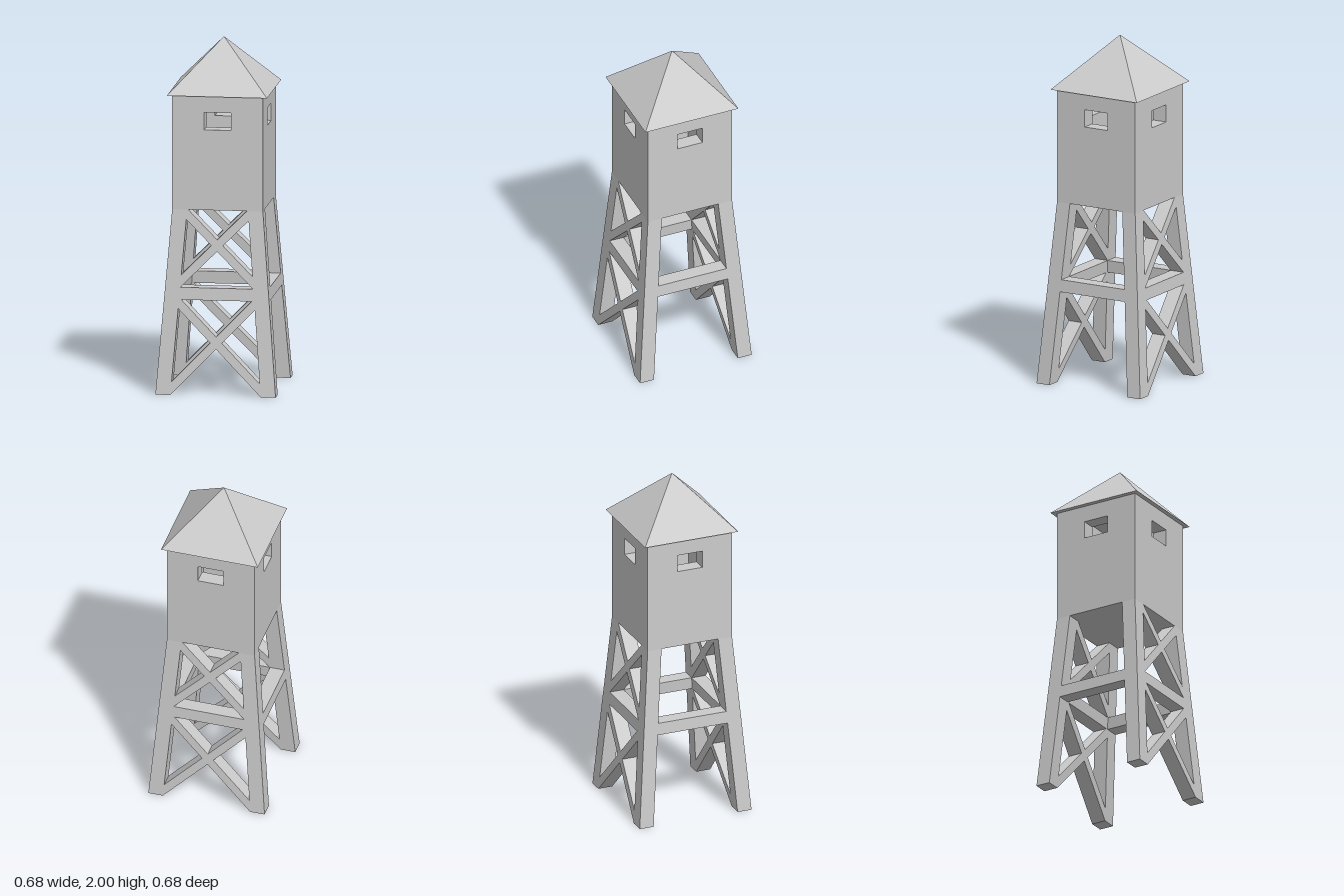
import * as THREE from 'three';

const T = 0.085;            // timber and wall thickness
const FOOT = 0.342;         // half width at the ground
const CABIN = 0.258;        // half width of the cabin
const DECK = 1.05;          // underside of the cabin
const EAVE = 1.705;
const material = new THREE.MeshStandardMaterial({ color: 0xcccccc, flatShading: true });

const outer = (y) => FOOT - (FOOT - CABIN) * (y / DECK);

function add(parent, name, geometry) {
  const mesh = new THREE.Mesh(geometry, material);
  mesh.name = name;
  parent.add(mesh);
  return mesh;
}

// Outline drawn on the front plane, extruded to timber depth
function slab(points, hole) {
  const shape = new THREE.Shape(points.map(([x, y]) => new THREE.Vector2(x, y)));
  if (hole) shape.holes.push(new THREE.Path(hole.map(([x, y]) => new THREE.Vector2(x, y))));
  return new THREE.ExtrudeGeometry(shape, { depth: T, bevelEnabled: false });
}

// Slab leaning inwards so it lies flush with the tapering tower
function leaningSlab(points) {
  const geometry = slab(points);
  const p = geometry.attributes.position;
  for (let i = 0; i < p.count; i++) p.setZ(i, p.getZ(i) + outer(p.getY(i)) - T);
  geometry.computeVertexNormals();
  return geometry;
}

const rect = (w, y0, y1) => [[-w, y0], [w, y0], [w, y1], [-w, y1]];
const mirror = (points) => points.map(([x, y]) => [-x, y]);

export function createModel() {
  const model = new THREE.Group();
  model.name = 'watchtower';

  const leg = [[FOOT - T, 0], [FOOT, 0], [CABIN, DECK], [CABIN - T, DECK]];
  const lowerBrace = [[-0.257, 0], [0.235, 0.507], [0.235, 0.55], [0.22, 0.56], [-0.265, 0.06], [-0.27, 0]];
  const upperBrace = [[-0.215, 0.602], [0.19, 1.007], [0.18, DECK], [0.167, DECK], [-0.225, 0.658]];

  for (let i = 0; i < 4; i++) {
    const side = new THREE.Group();
    side.name = ['frontSide', 'leftSide', 'backSide', 'rightSide'][i];
    side.rotation.y = i * Math.PI / 2;
    model.add(side);

    // One corner leg and one cross beam per side
    add(side, 'leg', leaningSlab(leg));
    add(side, 'crossBeam', leaningSlab(rect(0.23, 0.54, 0.61)));

    // Crossed braces on the front and back only
    if (i % 2 === 0) {
      for (const [name, points] of [['lowerBrace', lowerBrace], ['upperBrace', upperBrace]]) {
        add(side, name, leaningSlab(points));
        add(side, name, leaningSlab(mirror(points)));
      }
    }

    // Cabin wall with a window; side walls fit between front and back
    const half = i % 2 === 0 ? CABIN : CABIN - T;
    const wall = add(side, 'cabinWall', slab(rect(half, DECK, EAVE), rect(0.076, 1.51, 1.61)));
    wall.position.z = CABIN - T;
  }

  // Cabin floor
  const inner = 2 * (CABIN - T);
  add(model, 'cabinFloor', new THREE.BoxGeometry(inner, T, inner)).position.y = DECK + T / 2;

  // Pyramid roof
  const roof = new THREE.ConeGeometry(0.285 * Math.SQRT2, 2 - EAVE, 4);
  roof.rotateY(Math.PI / 4);
  add(model, 'roof', roof).position.y = (2 + EAVE) / 2;

  return model;
}
